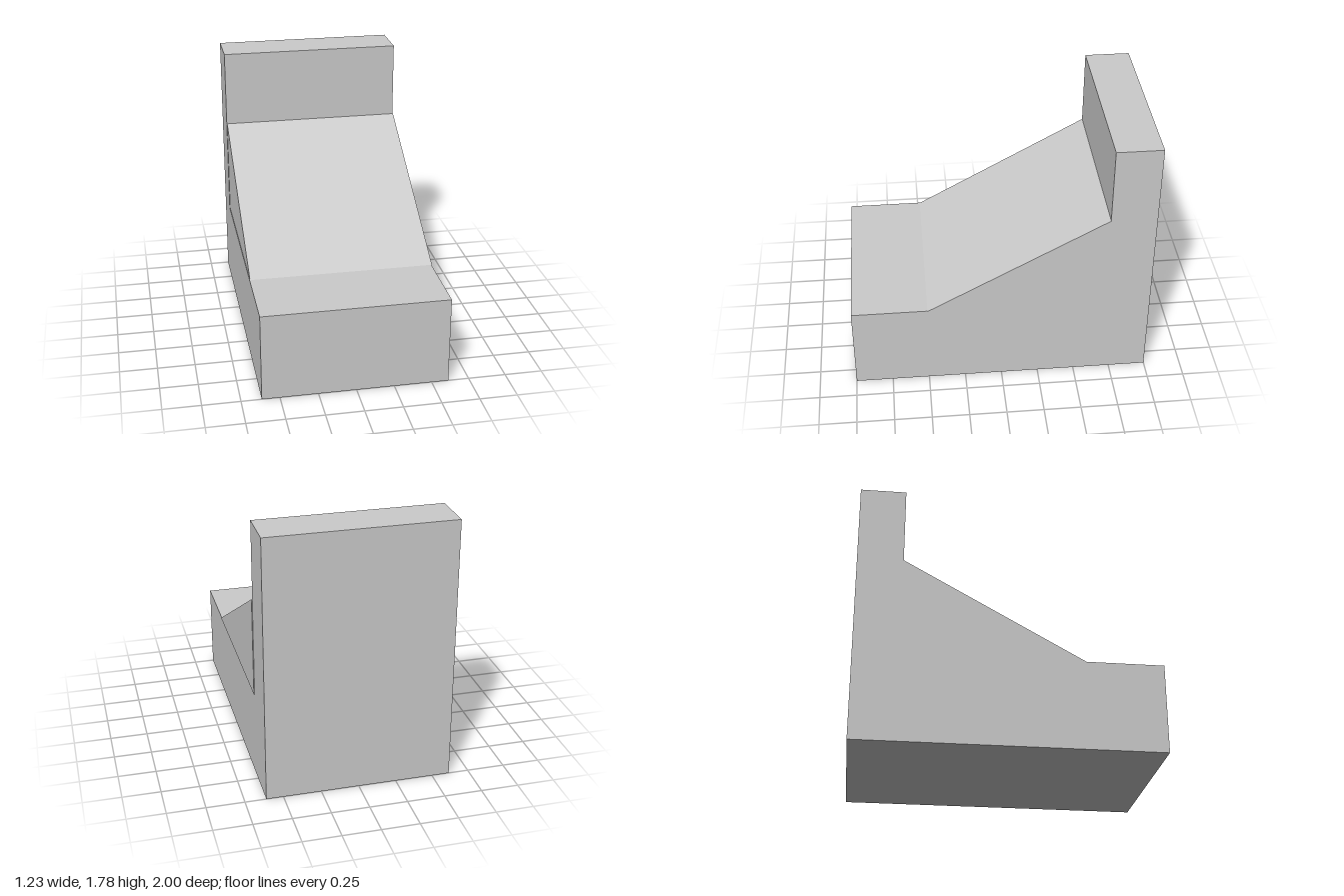
import * as THREE from 'three';

const material = new THREE.MeshStandardMaterial({ color: 0xcccccc, flatShading: true });

// Extrudes a side profile of [z, y] points across the model from xMin to xMax.
function sideExtrusion(name, points, xMin, xMax) {
  const shape = new THREE.Shape(points.map(([z, y]) => new THREE.Vector2(z, y)));
  const geometry = new THREE.ExtrudeGeometry(shape, { depth: xMax - xMin, bevelEnabled: false });
  geometry.rotateY(-Math.PI / 2); // profile x becomes z, depth runs towards -x
  geometry.translate(xMax, 0, 0);
  const mesh = new THREE.Mesh(geometry, material);
  mesh.name = name;
  return mesh;
}

export function createModel() {
  const model = new THREE.Group();
  model.name = 'rampedBlock';

  const baseTop = 0.596;
  const wallFront = -0.697;

  // L-shaped body: low base with an upright back wall
  model.add(sideExtrusion('baseAndBackWall', [
    [-1, 0], [1, 0], [1, baseTop], [wallFront, baseTop], [wallFront, 1.78], [-1, 1.78],
  ], -0.617, 0.612));

  // Sloping wedge between base and wall, shifted slightly to the left side
  model.add(sideExtrusion('rampWedge', [
    [wallFront, baseTop], [0.495, baseTop], [wallFront, 1.262],
  ], -0.614, 0.617));

  return model;
}
